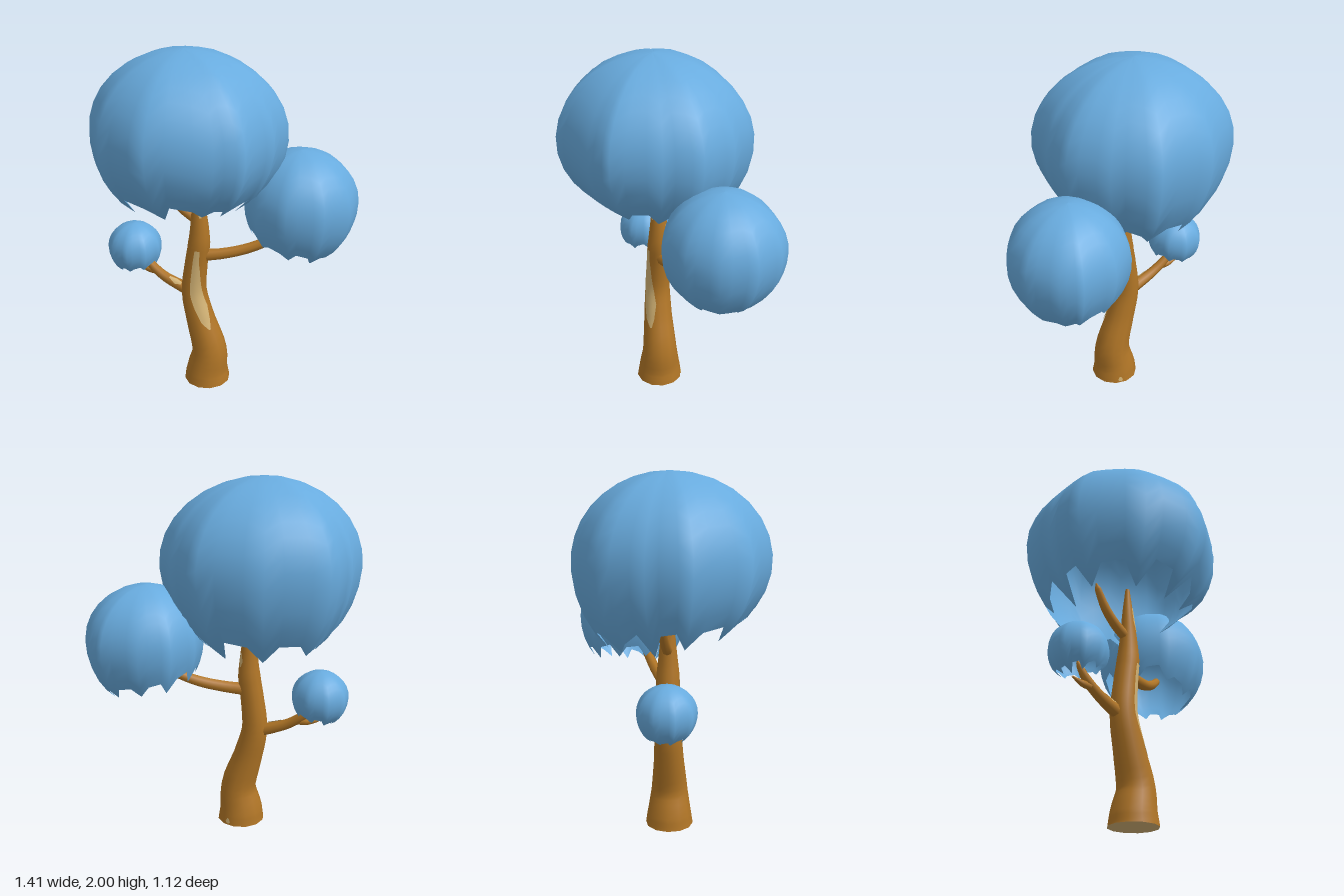
import * as THREE from 'three';

const material = (name, color, side = THREE.FrontSide) => {
  const m = new THREE.MeshStandardMaterial({ color, side });
  m.name = name;
  return m;
};

// Smooth surface from a grid of points; closed grids share the seam vertices.
function gridGeometry(cols, rows, closed, point) {
  const width = closed ? cols : cols + 1;
  const positions = [];
  const index = [];
  for (let j = 0; j <= rows; j++) {
    for (let i = 0; i < width; i++) positions.push(...point(i, j).toArray());
  }
  for (let j = 0; j < rows; j++) {
    for (let i = 0; i < cols; i++) {
      const a = j * width + i;
      const b = j * width + ((i + 1) % width);
      index.push(a, a + width, b, b, a + width, b + width);
    }
  }
  const g = new THREE.BufferGeometry();
  g.setAttribute('position', new THREE.Float32BufferAttribute(positions, 3));
  g.setIndex(index);
  g.computeVertexNormals();
  return g;
}

// Tapered limb through [x, y, z, radius] stations. Angle 0 is the +x side, PI / 2 the front.
function limbSurface(stations) {
  const path = new THREE.CatmullRomCurve3(stations.map(s => new THREE.Vector3(s[0], s[1], s[2])));
  const last = stations.length - 1;
  return (t, angle, lift = 0) => {
    const k = Math.min(Math.floor(t * last), last - 1);
    const radius = THREE.MathUtils.lerp(stations[k][3], stations[k + 1][3], t * last - k) + lift;
    const tangent = path.getTangent(t);
    const side = new THREE.Vector3().crossVectors(tangent, new THREE.Vector3(0, 0, 1)).normalize();
    const front = new THREE.Vector3().crossVectors(side, tangent);
    return path.getPoint(t)
      .addScaledVector(side, radius * Math.cos(angle))
      .addScaledVector(front, radius * Math.sin(angle));
  };
}

const limbGeometry = (surface, sides, rows) =>
  gridGeometry(sides, rows, true, (i, j) => surface(j / rows, (i / sides) * Math.PI * 2));

// Thin strip on a limb; edges are [t, startDegrees, endDegrees].
function stripGeometry(surface, edges) {
  const steps = 5;
  const rad = THREE.MathUtils.degToRad;
  return gridGeometry(4, (edges.length - 1) * steps, false, (i, j) => {
    const k = Math.min(Math.floor(j / steps), edges.length - 2);
    const f = j / steps - k;
    const [t, from, to] = edges[k].map((v, n) => THREE.MathUtils.lerp(v, edges[k + 1][n], f));
    return surface(t, rad(THREE.MathUtils.lerp(from, to, i / 4)), 0.002);
  });
}

// Open dome over an [x, z] plan outline, with a ragged hem given as polar angles in degrees.
// sag deepens the lower half toward +x and +z; tilt drops the hem toward +x.
function crownGeometry({ center, plan, up, down, sag, hem, tilt, ragged, seed }) {
  const per = 3, cols = plan.length * per, rows = 12;
  const outline = new THREE.CatmullRomCurve3(
    plan.map(([x, z]) => new THREE.Vector3(x - center[0], 0, z - center[2])), true, 'catmullrom', 0.25);
  let state = seed;
  const random = () => (state = (state * 16807) % 2147483647) / 2147483647;
  const columns = Array.from({ length: cols }, (_, i) => {
    const edge = outline.getPoint(i / cols);
    const out = edge.clone().normalize();
    const tooth = i % per === 0 ? 0.4 + 0.6 * random() : -0.6 * random();
    return {
      edge,
      depth: down + sag[0] * out.x + sag[1] * out.z,
      end: THREE.MathUtils.degToRad(hem + ragged * tooth + tilt * out.x),
    };
  });
  return gridGeometry(cols, rows, true, (i, j) => {
    const { edge, depth, end } = columns[i];
    const polar = (1 - j / rows) * end;
    const h = Math.cos(polar);
    const p = edge.clone().multiplyScalar(Math.sin(polar));
    p.y = h * (h > 0 ? up : depth);
    return p.add(new THREE.Vector3(...center));
  });
}

export function createModel() {
  const bark = material('bark brown', 0xb07526);
  const wood = material('pale wood', 0xd2b274, THREE.DoubleSide);
  const leaf = material('leaf blue', 0x68abde, THREE.DoubleSide);
  const tree = new THREE.Group();
  tree.name = 'tree';
  const add = (name, geometry, mat) => {
    const mesh = new THREE.Mesh(geometry, mat);
    mesh.name = name;
    tree.add(mesh);
    return mesh;
  };

  // Trunk with its S-bend and cut base
  const trunk = limbSurface([
    [-0.076, 0, 0.015, 0.136], [-0.076, 0.06, 0.015, 0.127], [-0.06, 0.2, 0.015, 0.104],
    [-0.115, 0.4, 0.015, 0.085], [-0.156, 0.58, 0.012, 0.074], [-0.142, 0.76, 0.01, 0.067],
    [-0.122, 0.9, 0.01, 0.064], [-0.12, 1.04, 0.01, 0.048], [-0.127, 1.2, 0.01, 0.03],
    [-0.13, 1.34, 0.01, 0.012],
  ]);
  add('trunk', limbGeometry(trunk, 12, 36), bark);
  const base = add('trunkBase', new THREE.CircleGeometry(0.136, 12), wood);
  base.rotation.x = Math.PI / 2;
  base.position.set(-0.076, 0, 0.015);

  // Bare wood on the trunk
  const bareWood = {
    trunkBareWood: [[0.305, 35, 42], [0.335, 25, 62], [0.39, 15, 75], [0.45, 25, 85],
      [0.52, 42, 87], [0.59, 58, 88], [0.644, 62, 88]],
    upperBareWood: [[0.796, 50, 65], [0.84, 35, 85], [0.902, 35, 85]],
    backBareWood: [[0.715, -58, -48], [0.74, -68, -38], [0.775, -55, -42]],
    footBareWood: [[0.02, -76, -70], [0.04, -79, -66], [0.08, -74, -70]],
  };
  for (const [name, edges] of Object.entries(bareWood)) add(name, stripGeometry(trunk, edges), wood);

  // Branches
  const lower = limbSurface([
    [-0.14, 0.56, 0.01, 0.04], [-0.24, 0.592, 0.01, 0.035], [-0.35, 0.635, 0.01, 0.029],
    [-0.43, 0.69, 0.005, 0.026], [-0.485, 0.755, 0, 0.014], [-0.5, 0.78, 0, 0.003]]);
  const branches = {
    lowerBranch: lower,
    lowerTwig: limbSurface([
      [-0.39, 0.66, 0.01, 0.022], [-0.46, 0.662, 0.005, 0.018], [-0.53, 0.68, 0, 0.004]]),
    sideBranch: limbSurface([
      [-0.12, 0.815, 0.005, 0.038], [0, 0.83, -0.03, 0.034], [0.14, 0.865, -0.085, 0.031],
      [0.27, 0.925, -0.14, 0.027], [0.36, 0.985, -0.185, 0.022], [0.39, 1.01, -0.2, 0.003]]),
    upperBranch: limbSurface([
      [-0.12, 1.03, 0.01, 0.03], [-0.22, 1.085, 0.005, 0.028], [-0.3, 1.16, 0, 0.025],
      [-0.36, 1.25, 0, 0.018], [-0.375, 1.28, 0, 0.003]]),
  };
  for (const [name, surface] of Object.entries(branches)) add(name, limbGeometry(surface, 8, 16), bark);
  add('branchBareWood', stripGeometry(lower, [[0.2, 25, 50], [0.26, 10, 70], [0.34, 20, 40]]), wood);
  add('tipBareWood', stripGeometry(lower, [[0.68, 20, 40], [0.74, 5, 75], [0.82, 10, 70]]), wood);

  // Leaf crowns
  const round = Array.from({ length: 9 }, (_, i) => {
    const a = (i / 9) * Math.PI * 2;
    return [-0.525 + 0.159 * Math.cos(a), 0.032 + 0.159 * Math.sin(a)];
  });
  const crowns = {
    mainCrown: { center: [-0.195, 1.54, 0.025], up: 0.46, down: 0.52, sag: [-0.03, -0.06],
      plan: [[0.34, -0.15], [0.33, 0.06], [0.27, 0.32], [0.14, 0.42], [-0.17, 0.56], [-0.49, 0.45],
        [-0.7, 0.17], [-0.69, -0.06], [-0.63, -0.3], [-0.34, -0.47], [0, -0.495], [0.2, -0.34]],
      hem: 132, tilt: 2, ragged: 15, seed: 71 },
    sideCrown: { center: [0.385, 1.13, -0.24], up: 0.31, down: 0.36, sag: [0, 0],
      plan: [[0.7, -0.16], [0.6, 0], [0.41, 0.08], [0.22, 0.03], [0.1, -0.12], [0.08, -0.3],
        [0.15, -0.46], [0.3, -0.545], [0.5, -0.56], [0.6, -0.5], [0.7, -0.35]],
      hem: 128, tilt: 14, ragged: 12, seed: 305 },
    lowerCrown: { center: [-0.525, 0.81, 0.032], up: 0.152, down: 0.16, sag: [0, 0],
      plan: round, hem: 130, tilt: -13, ragged: 15, seed: 941 },
  };
  for (const [name, spec] of Object.entries(crowns)) add(name, crownGeometry(spec), leaf);

  return tree;
}
